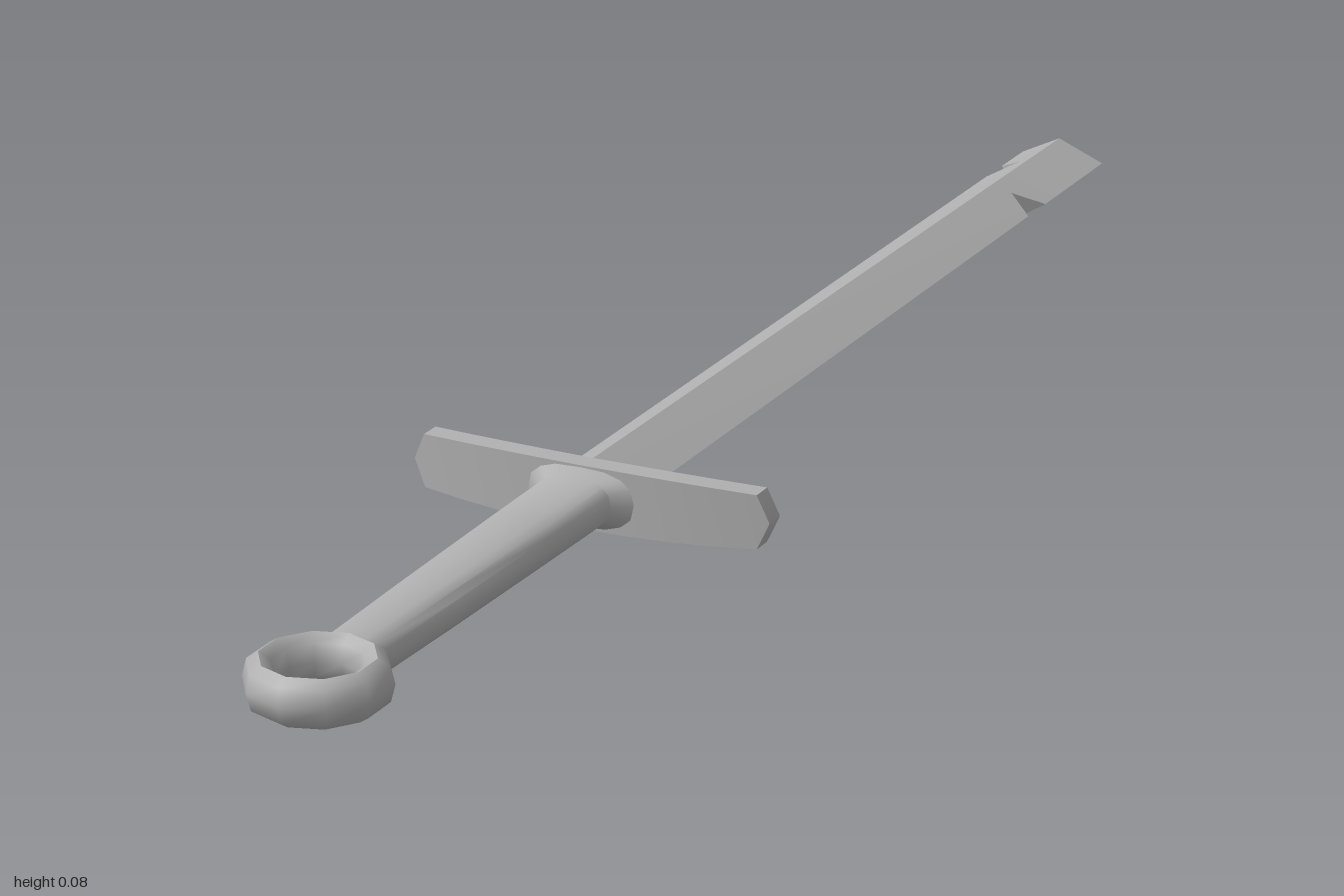
import * as THREE from 'three';
import { toCreasedNormals } from 'three/addons/utils/BufferGeometryUtils.js';

const MID = 0.0377; // height of the sword's centre plane

// Skin a list of closed rings (arrays of Vector3) and cap both ends.
function loft(rings, crease) {
  const pos = [];
  const tri = (a, b, c) => {
    const area = b.clone().sub(a).cross(c.clone().sub(a)).length();
    if (area > 1e-9) for (const v of [a, b, c]) pos.push(v.x, v.y, v.z);
  };
  const n = rings[0].length;
  const middle = (r) => r[0].clone().add(r[n / 2]).multiplyScalar(0.5);
  const first = rings[0], last = rings[rings.length - 1];
  const c0 = middle(first), c1 = middle(last);
  for (let j = 0; j < n; j++) {
    const k = (j + 1) % n;
    for (let i = 0; i < rings.length - 1; i++) {
      const a = rings[i], b = rings[i + 1];
      tri(a[j], b[j], a[k]);
      tri(a[k], b[j], b[k]);
    }
    tri(c0, first[j], first[k]);
    tri(c1, last[k], last[j]);
  }
  const geo = new THREE.BufferGeometry();
  geo.setAttribute('position', new THREE.Float32BufferAttribute(pos, 3));
  return toCreasedNormals(geo, crease);
}

const V = (x, y, z) => new THREE.Vector3(x, y, z);

// Diamond-section blade with one notch in each edge and a broken-off V end.
function bladeGeometry() {
  const W = 0.057;
  // z, left edge reach (+x), right edge reach (-x), ridge z offset
  const stations = [
    [0.345, W, W, 0], [-0.755, W, W, 0], [-0.78, 0.022, W, 0], [-0.81, W, W, 0],
    [-0.88, W, W, 0], [-0.902, W, 0.02, 0], [-0.93, W, W, 0], [-1, W, W, 0.012],
  ];
  const rings = stations.map(([z, l, r, dz]) => {
    const H = THREE.MathUtils.mapLinear(z, 0.345, -1, 0.035, 0.03);
    const hl = H * (1 - l / W), hr = H * (1 - r / W);
    return [
      V(0, MID + H, z + dz), V(-r, MID + hr, z), V(-r, MID - hr, z),
      V(0, MID - H, z + dz), V(l, MID - hl, z), V(l, MID + hl, z),
    ];
  });
  return loft(rings, 0.4);
}

// Crossguard bowed toward the blade, with pointed ends.
function guardGeometry() {
  const half = [[0.222, 0.001], [0.208, 0.032], [0.15, 0.0348], [0.1, 0.0365], [0.05, 0.0375]];
  const all = [...half, [0, 0.0377], ...half.map(([x, h]) => [-x, h]).reverse()];
  const rings = all.map(([x, h]) => {
    const bow = 0.022 * (x / 0.222) ** 2;
    const z0 = 0.333 - bow, z1 = 0.359 - bow;
    return [V(x, MID - h, z0), V(x, MID + h, z0), V(x, MID + h, z1), V(x, MID - h, z1)];
  });
  return loft(rings, 0.5);
}

// Rounded-oblong grip flaring into a collar at the guard.
function gripGeometry() {
  const N = 16, round = (v) => Math.sign(v) * Math.abs(v) ** 0.75;
  const stations = [
    [0.857, 0.036, 0.025], [0.7, 0.04, 0.0265], [0.5, 0.044, 0.0275],
    [0.373, 0.046, 0.028], [0.356, 0.067, 0.037], [0.35, 0.067, 0.037],
  ];
  const rings = stations.map(([z, a, b]) => Array.from({ length: N }, (_, i) => {
    const t = (i / N) * Math.PI * 2;
    return V(a * round(Math.cos(t)), MID + b * round(Math.sin(t)), z);
  }));
  return loft(rings, 0.7);
}

// Ring pommel lying flat, taller than it is thick.
function pommelGeometry() {
  const geo = new THREE.TorusGeometry(0.062, 0.0175, 8, 10);
  geo.scale(1, 1, 1.58);
  geo.rotateX(Math.PI / 2);
  geo.rotateY(Math.PI / 2);
  geo.computeVertexNormals();
  return toCreasedNormals(geo, 1.1).translate(0, MID + 0.001, 0.9205);
}

export function createModel() {
  const steel = new THREE.MeshStandardMaterial({ color: 0xb0b0b0 });
  steel.name = 'steel grey';

  const group = new THREE.Group();
  group.name = 'brokenSword';
  const parts = {
    blade: bladeGeometry(),
    crossguard: guardGeometry(),
    grip: gripGeometry(),
    pommelRing: pommelGeometry(),
  };
  for (const [name, geometry] of Object.entries(parts)) {
    const mesh = new THREE.Mesh(geometry, steel);
    mesh.name = name;
    group.add(mesh);
  }
  return group;
}
